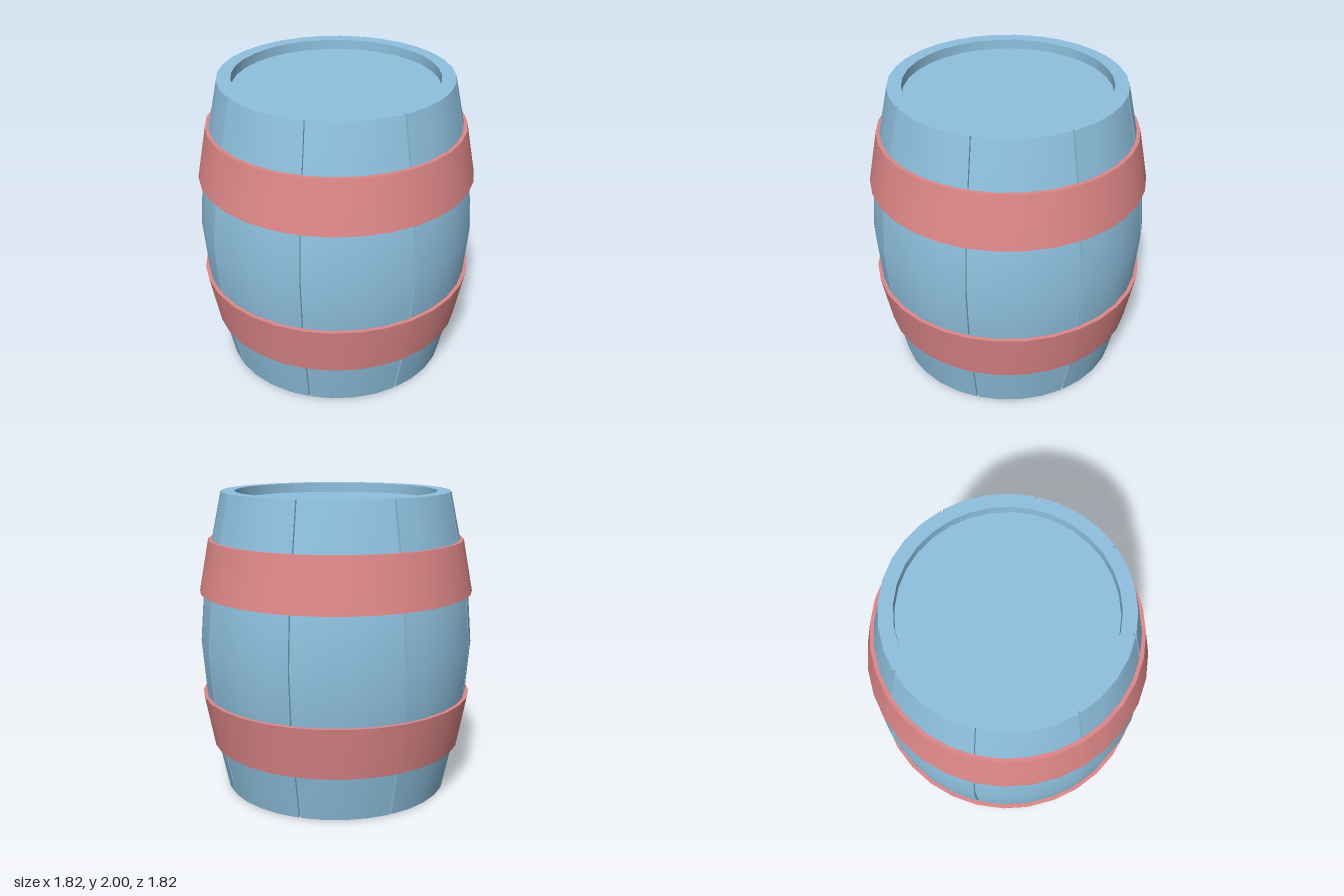
import * as THREE from 'three';
import { toCreasedNormals } from 'three/addons/utils/BufferGeometryUtils.js';

const SIDES = 32;
const GROOVE_DEPTH = 0.018;
const GROOVE_HALF_ANGLE = 0.01;

// Angles around the barrel; every fourth corner is widened into a groove
const columns = [];
for (let i = 0; i < SIDES; i++) {
  const a = (i / SIDES) * Math.PI * 2;
  if (i % 4 === 3) {
    columns.push([a - GROOVE_HALF_ANGLE, 0], [a - GROOVE_HALF_ANGLE * 0.8, GROOVE_DEPTH],
      [a + GROOVE_HALF_ANGLE * 0.8, GROOVE_DEPTH], [a + GROOVE_HALF_ANGLE, 0]);
  } else {
    columns.push([a, 0]);
  }
}

// Sweeps rows of [radius, height, grooved] around the y axis
function sweep(rows) {
  const positions = [], index = [], n = columns.length;
  for (const [radius, y, grooved] of rows) {
    for (const [a, depth] of columns) {
      const r = radius - (grooved ? depth : 0);
      positions.push(r * Math.sin(a), y, r * Math.cos(a));
    }
  }
  for (let j = 0; j < rows.length - 1; j++) {
    for (let i = 0; i < n; i++) {
      const a = j * n + i, b = j * n + (i + 1) % n;
      index.push(a, b, b + n, a, b + n, a + n);
    }
  }
  const geometry = new THREE.BufferGeometry();
  geometry.setAttribute('position', new THREE.Float32BufferAttribute(positions, 3));
  geometry.setIndex(index);
  return toCreasedNormals(geometry, 0.6);
}

export function createModel() {
  const wood = new THREE.MeshStandardMaterial({ color: 0x8fc1df, side: THREE.DoubleSide });
  wood.name = 'blueWood';
  const metal = new THREE.MeshStandardMaterial({ color: 0xde8787 });
  metal.name = 'redHoop';

  const barrel = new THREE.Group();
  barrel.name = 'barrel';
  const add = (name, geometry, material) => {
    const mesh = new THREE.Mesh(geometry, material);
    mesh.name = name;
    barrel.add(mesh);
    return mesh;
  };

  // Bulging stave wall, open at the bottom
  add('staves', sweep([
    [0.755, 0, true], [0.825, 0.33, true], [0.885, 0.66, true], [0.912, 1, true],
    [0.885, 1.34, true], [0.825, 1.67, true], [0.755, 2, true],
  ]), wood);

  // Flat rim and recessed lid
  add('lid', sweep([[0.755, 2, true], [0.665, 2], [0.665, 1.935], [0, 1.935]]), wood);

  // Sloped hoops, mirrored top and bottom; their inner faces sit just inside the wall
  const profile = [[0.845, 0.31], [0.91, 0.655], [0.876, 0.655], [0.812, 0.31], [0.845, 0.31]];
  add('lowerHoop', sweep(profile), metal);
  add('upperHoop', sweep(profile.map(([r, y]) => [r, 2 - y]).reverse()), metal);

  return barrel;
}
